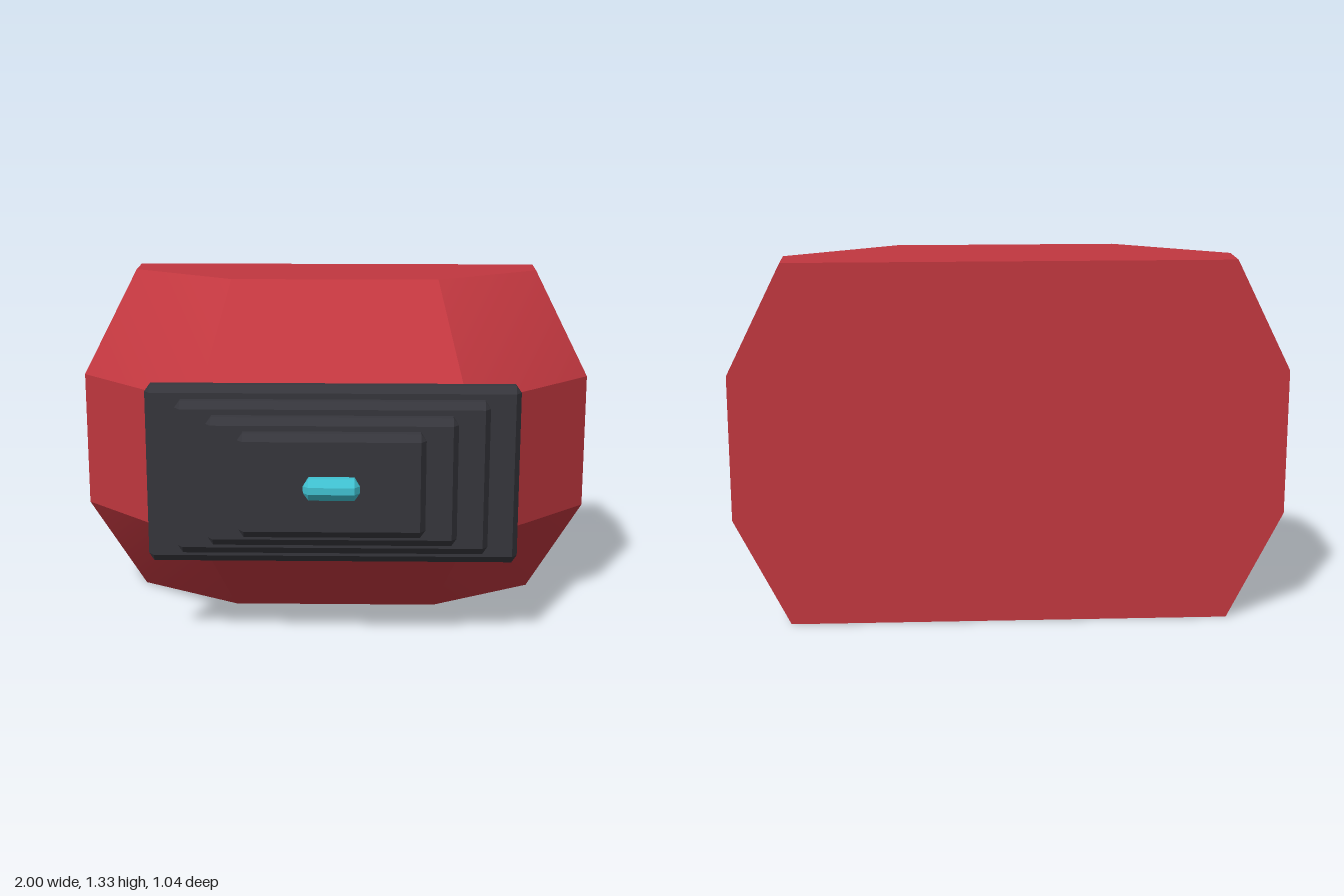
import * as THREE from 'three';
import { ConvexGeometry } from 'three/addons/geometries/ConvexGeometry.js';
import { toCreasedNormals } from 'three/addons/utils/BufferGeometryUtils.js';

const material = (name, color) => {
  const m = new THREE.MeshStandardMaterial({ color });
  m.name = name;
  return m;
};

// Faceted solid from horizontal sections: [y, [[x, z], ...]], mirrored in x
function facetedSolid(name, sections, mat) {
  const points = [];
  for (const [y, outline] of sections) {
    for (const [x, z] of outline) {
      points.push(new THREE.Vector3(x, y, z), new THREE.Vector3(-x, y, z));
    }
  }
  const mesh = new THREE.Mesh(toCreasedNormals(new ConvexGeometry(points), 0.35), mat);
  mesh.name = name;
  return mesh;
}

// Thin plate with chamfered ends and chamfered front edges
function plate(name, halfWidth, halfHeight, back, front, mat) {
  const c = 0.02, centreY = 0.67;
  const middle = [[halfWidth - c, back], [halfWidth, (back + front) / 2], [halfWidth - c, front]];
  const end = [[halfWidth - c, back], [halfWidth - c, front - c]];
  const inner = halfHeight - 0.027;
  return facetedSolid(name, [
    [centreY - halfHeight, end],
    [centreY - inner, middle],
    [centreY + inner, middle],
    [centreY + halfHeight, end],
  ], mat);
}

export function createModel() {
  const red = material('red shell', 0xc1373f);
  const dark = material('dark grey plate', 0x36363c);
  const cyan = material('cyan light', 0x40c2d2);

  const group = new THREE.Group();
  group.name = 'facetedPod';

  // Main shell: wide waist tapering to a narrower top and bottom, flat back
  const waist = [[1, -0.52], [1, -0.22], [0.5, 0.28]];
  const cap = [[0.8, -0.52], [0.8, -0.365], [0.4, -0.12]];
  group.add(facetedSolid('shell', [[0, cap], [0.4, waist], [0.933, waist], [1.333, cap]], red));

  // Stepped front plates, each smaller than the one behind
  const steps = [[0.693, 0.34], [0.578, 0.291], [0.46, 0.243], [0.342, 0.196]];
  steps.forEach(([w, h], i) => {
    const back = 0.265 + i * 0.051;
    group.add(plate(`steppedPlate${i + 1}`, w, h, back, back + 0.052, dark));
  });

  // Small light at the centre of the front
  group.add(plate('centreLight', 0.103, 0.04, 0.469, 0.52, cyan));
  return group;
}
